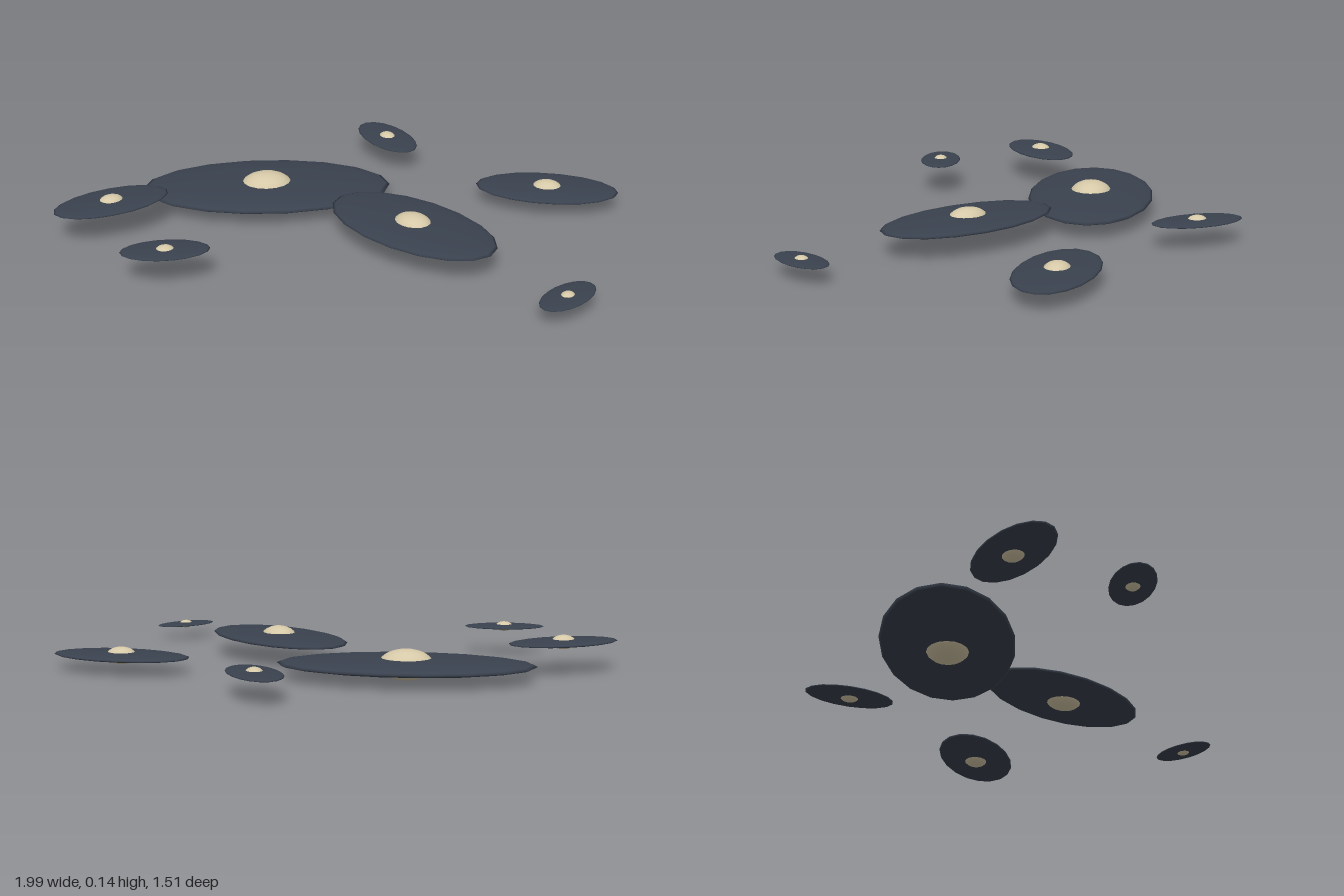
import * as THREE from 'three';

export function createModel() {
  const model = new THREE.Group();
  model.name = 'discCluster';
  const slate = new THREE.MeshStandardMaterial({ name: 'slate', color: 0x3a424f });
  const sand = new THREE.MeshStandardMaterial({ name: 'sand', color: 0xd6c9a8 });

  // Unit spheres, flattened per part
  const discShape = new THREE.SphereGeometry(1, 18, 12);
  const coreShape = new THREE.SphereGeometry(1, 16, 12);

  const part = (name, shape, material, x, y, z) => {
    const mesh = new THREE.Mesh(shape, material);
    mesh.name = name;
    mesh.scale.set(x, y, z);
    return mesh;
  };

  // x, y, z, half length, half width, turn in degrees
  const discs = [
    ['largeDisc', -0.355, 0.058, -0.07, 0.478, 0.247, 18.5],
    ['mediumDisc', 0.287, 0.088, 0.17, 0.365, 0.196, -28],
    ['rightBackDisc', 0.695, 0.06, -0.345, 0.274, 0.142, 6.5],
    ['leftDisc', -0.825, 0.115, 0.34, 0.224, 0.116, 46],
    ['backDisc', -0.013, 0.086, -0.612, 0.18, 0.093, -45.5],
    ['frontDisc', -0.484, 0.114, 0.655, 0.158, 0.082, 23],
    ['rightFrontDisc', 0.907, 0.06, 0.503, 0.134, 0.07, 63.5],
  ];

  for (const [name, x, y, z, a, b, turn] of discs) {
    const group = new THREE.Group();
    group.name = name;
    group.position.set(x, y, z);
    group.rotation.y = THREE.MathUtils.degToRad(turn);
    group.add(
      part('disc', discShape, slate, a, a * 0.053, b),
      part('core', coreShape, sand, a * 0.215, a * 0.121, a * 0.18),
    );
    model.add(group);
  }
  return model;
}
